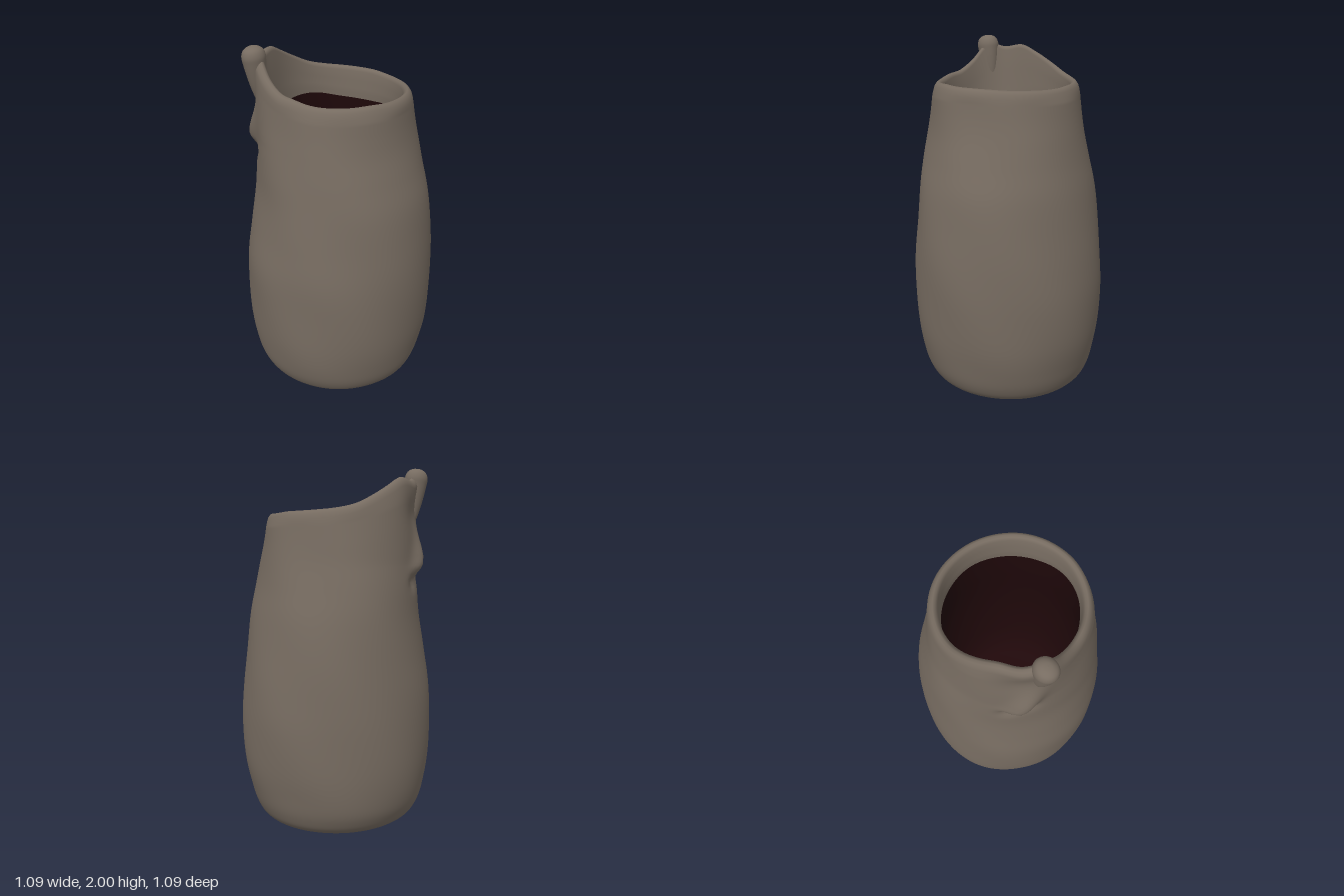
import * as THREE from 'three';

const SEG = 120;

// Body cross-sections: y, min x, max x, min z, max z
const SECTIONS = [
  [0.005, -0.01, 0.01, -0.01, 0.01],
  [0.006, -0.26, 0.28, -0.27, 0.26],
  [0.022, -0.37, 0.38, -0.38, 0.36],
  [0.055, -0.44, 0.435, -0.45, 0.43],
  [0.11, -0.483, 0.468, -0.49, 0.473],
  [0.2, -0.515, 0.495, -0.52, 0.503],
  [0.37, -0.54, 0.528, -0.54, 0.53],
  [0.6, -0.546, 0.541, -0.542, 0.542],
  [0.8, -0.54, 0.532, -0.532, 0.543],
  [1.0, -0.508, 0.51, -0.515, 0.53],
  [1.2, -0.477, 0.482, -0.492, 0.51],
  [1.36, -0.466, 0.447, -0.465, 0.475],
  [1.5, -0.455, 0.42, -0.438, 0.44],
  [1.6, -0.442, 0.402, -0.423, 0.422],
  [1.7, -0.43, 0.388, -0.408, 0.41],
];

// Rim height every 15 degrees, from +x round through +z
const RIM = [1.757, 1.758, 1.76, 1.765, 1.768, 1.77, 1.775, 1.772, 1.772, 1.778, 1.795, 1.81,
  1.865, 1.955, 1.935, 1.948, 1.905, 1.855, 1.81, 1.788, 1.778, 1.772, 1.768, 1.76];

// Height where the dark inside begins, every 30 degrees
const STAIN = [1.6, 1.59, 1.6, 1.64, 1.65, 1.58, 1.52, 1.52, 1.61, 1.63, 1.6, 1.59];

const curve3 = (fn) => new THREE.CatmullRomCurve3(SECTIONS.map(fn), false, 'catmullrom', 0.5);
const sizes = curve3(([y, a, b, c, d]) => new THREE.Vector3((b - a) / 2, y, (d - c) / 2));
const centres = curve3(([y, a, b, c, d]) => new THREE.Vector3((a + b) / 2, y, (c + d) / 2));
const loop = (list) => new THREE.SplineCurve([...list, list[0]].map((h, i) => new THREE.Vector2(i, h)));
const rimCurve = loop(RIM);
const stainCurve = loop(STAIN);

const bell = (d, w) => Math.exp(-(d * d) / (w * w));
const spoutLean = (deg) => 0.035 * bell(deg - 200, 22);

// Uneven hand-made surface, with the scar of a broken handle below the spout
function relief(deg, y) {
  const a = THREE.MathUtils.degToRad(deg);
  const wobble = 0.003 * Math.sin(3 * a + 5 * y) + 0.002 * Math.sin(7 * a - 9 * y);
  const along = deg - 209 + (y - 1.5) * 80;
  const scar = 0.05 * bell(along, 9) * bell(y - 1.5, 0.08)
    - 0.03 * bell(deg - 217, 7) * bell(y - 1.4, 0.045)
    - 0.015 * bell(deg - 203, 6) * bell(y - 1.42, 0.04)
    - 0.02 * bell(deg - 210, 14) * bell(y - 1.66, 0.06);
  return wobble * Math.min(1, y * 4) + scar;
}

// Ring of points from a rule of angle, degrees, rim height and stain height
const ring = (fn) => Array.from({ length: SEG }, (_, j) => {
  const t = j / SEG;
  return fn(t * Math.PI * 2, t * 360, rimCurve.getPoint(t).y, stainCurve.getPoint(t).y);
});

// Skin a stack of rings, closing the middle of the first or last one
function skin(rows, closeFirst) {
  const index = [];
  for (let i = 0; i < rows.length - 1; i++) {
    for (let j = 0; j < SEG; j++) {
      const n = (j + 1) % SEG;
      const a = i * SEG + j, b = i * SEG + n, c = a + SEG, d = b + SEG;
      index.push(a, c, b, b, c, d);
    }
  }
  const base = closeFirst ? 0 : (rows.length - 1) * SEG;
  for (let j = 1; j < SEG - 1; j++) {
    if (closeFirst) index.push(base, base + j, base + j + 1);
    else index.push(base, base + j + 1, base + j);
  }
  const g = new THREE.BufferGeometry();
  g.setAttribute('position', new THREE.Float32BufferAttribute(rows.flat(2), 3));
  g.setIndex(index);
  g.computeVertexNormals();
  return g;
}

// Round throat ring inside the neck
const throat = (a, r, y) => [-0.022 + r * Math.cos(a), y, r * Math.sin(a)];

// Underside, outside, rolled lip and upper inside
function wallGeometry() {
  const rows = [];
  for (let i = 0; i <= 84; i++) {
    const s = sizes.getPoint(i / 84), c = centres.getPoint(i / 84);
    const k = Math.max(0, (s.y - 1.5) / 0.27);
    rows.push(ring((a, deg, rim) => {
      const r = relief(deg, s.y) + k * spoutLean(deg);
      return [c.x + (s.x + r) * Math.cos(a), s.y + (rim - 1.77) * k, c.z + (s.z + r) * Math.sin(a)];
    }));
  }
  // Rolled lip: inset from the wall and drop below the rim height
  for (const [inset, drop] of [[0.004, 0.045], [0.011, 0.022], [0.022, 0.006], [0.035, 0], [0.047, 0.006], [0.057, 0.022]]) {
    rows.push(ring((a, deg, rim) => {
      const r = 0.407 + spoutLean(deg) - inset;
      return [-0.02 + r * Math.cos(a), rim - drop, 0.002 + r * Math.sin(a)];
    }));
  }
  // Inside, easing to the throat and down to the edge of the stain
  for (const [f, r] of [[0.3, 0.349], [0.6, 0.345], [0.8, 0.345], [1, 0.347]]) {
    rows.push(ring((a, deg, rim, stain) =>
      throat(a, r + spoutLean(deg) * (1 - f), THREE.MathUtils.lerp(rim - 0.03, stain, f))));
  }
  return skin(rows, true);
}

// Dark hollow from the stain edge down to the floor
function hollowGeometry() {
  const rows = [ring((a, deg, rim, stain) => throat(a, 0.347, stain))];
  const profile = [[0.36, 1.45], [0.385, 1.3], [0.42, 1.1], [0.455, 0.85], [0.465, 0.6], [0.455, 0.35],
    [0.42, 0.18], [0.36, 0.11], [0.2, 0.09], [0.01, 0.09]];
  for (const [r, y] of profile) rows.push(ring((a) => throat(a, r, y)));
  return skin(rows, false);
}

export function createModel() {
  const clay = new THREE.MeshStandardMaterial({ color: 0x776c61 });
  clay.name = 'clay';
  const dark = new THREE.MeshStandardMaterial({ color: 0x1f080a });
  dark.name = 'dark red inside';

  const model = new THREE.Group();
  model.name = 'jug';
  const add = (name, geometry, material) => {
    const mesh = new THREE.Mesh(geometry, material);
    mesh.name = name;
    model.add(mesh);
    return mesh;
  };

  add('jugWall', wallGeometry(), clay);
  add('hollow', hollowGeometry(), dark);

  // Rounded stub of the broken handle, growing out of the rim beside the spout
  const profile = [[0, -0.26], [0.02, -0.22], [0.036, -0.15], [0.047, -0.08], [0.054, -0.02], [0.056, 0.015], [0.046, 0.045], [0.024, 0.062], [0, 0.066]];
  const points = new THREE.SplineCurve(profile.map(([x, y]) => new THREE.Vector2(x, y))).getPoints(32)
    .map((p) => p.setX(Math.max(0, p.x)));
  const stub = add('handleStub', new THREE.LatheGeometry(points, 32), clay);
  stub.position.set(-0.432, 1.935, -0.117);
  stub.rotation.set(0, 0.25, 0.12);
  stub.scale.set(1.15, 1, 1.05);
  return model;
}
